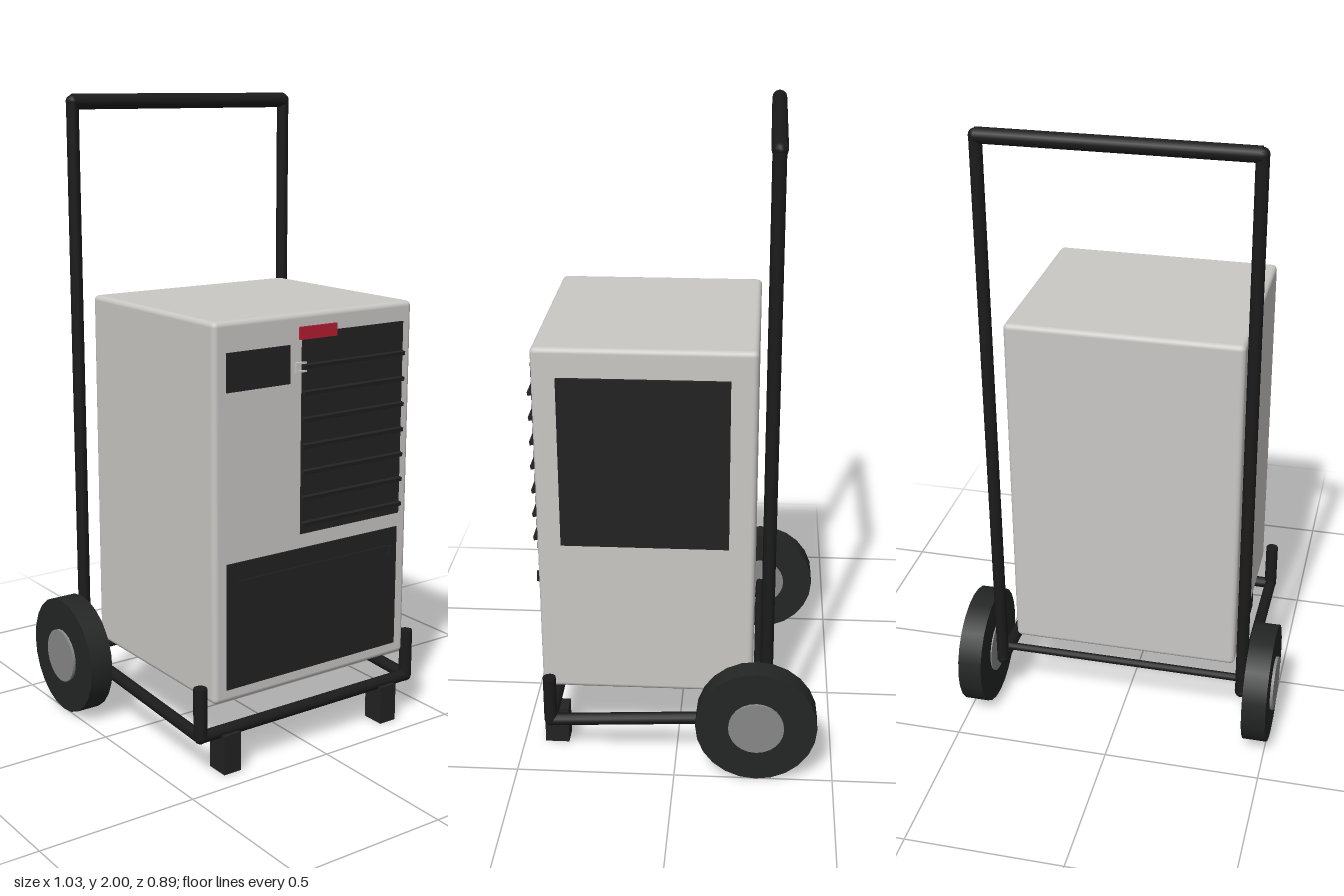
import * as THREE from 'three';
import { RoundedBoxGeometry } from 'three/addons/geometries/RoundedBoxGeometry.js';

const paint = (name, color) => Object.assign(new THREE.MeshStandardMaterial({ color }), { name });

export function createModel() {
  const model = new THREE.Group();
  model.name = 'portableDehumidifier';
  const shell = paint('shellGrey', 0xcac8c5);
  const frame = paint('frameBlack', 0x1b1b1c);
  const panel = paint('panelCharcoal', 0x222222);
  const tyre = paint('tyreRubber', 0x242525);
  const hub = paint('hubGrey', 0x888888);
  const red = paint('labelRed', 0xb51c30);

  const add = (name, geometry, material, x = 0, y = 0, z = 0) => {
    const mesh = new THREE.Mesh(geometry, material);
    mesh.name = name;
    mesh.position.set(x, y, z);
    model.add(mesh);
    return mesh;
  };
  // box from its minimum and maximum corners
  const box = (name, material, [x0, y0, z0], [x1, y1, z1]) =>
    add(name, new THREE.BoxGeometry(x1 - x0, y1 - y0, z1 - z0), material,
      (x0 + x1) / 2, (y0 + y1) / 2, (z0 + z1) / 2);
  // round tube between two points
  const bar = (name, a, b, r) => {
    const p = new THREE.Vector3(...a), q = new THREE.Vector3(...b);
    const d = q.clone().sub(p);
    const mesh = add(name, new THREE.CylinderGeometry(r, r, d.length(), 12), frame);
    mesh.position.copy(p).add(q).multiplyScalar(0.5);
    mesh.quaternion.setFromUnitVectors(new THREE.Vector3(0, 1, 0), d.normalize());
  };

  // cabinet
  add('cabinet', new RoundedBoxGeometry(0.742, 1.15, 0.671, 3, 0.016), shell, -0.002, 0.805, 0.0935);
  box('sideFilterPanel', panel, [0.36, 0.745, -0.162], [0.382, 1.29, 0.354]);

  // front panels
  const front = 0.425;
  box('controlPanel', panel, [-0.33, 1.175, front], [-0.105, 1.29, 0.434]);
  box('louvrePanel', panel, [-0.06, 0.708, front], [0.33, 1.32, 0.434]);
  box('tankPanel', panel, [-0.33, 0.272, front], [0.325, 0.663, 0.434]);
  box('tankRidge', panel, [-0.295, 0.6, front], [0.295, 0.608, 0.438]);
  box('tankLatch', panel, [0.288, 0.572, front], [0.298, 0.606, 0.446]);
  for (let i = 0; i < 7; i++) {
    const slat = add('louvreSlat', new THREE.BoxGeometry(0.39, 0.012, 0.018), panel,
      0.135, 1.223 - i * 0.0803, 0.437);
    slat.rotation.x = 0.2;
  }
  box('label', red, [-0.07, 1.302, front], [0.067, 1.34, 0.438]);

  // small open bracket beside the louvres
  box('bracketBack', shell, [-0.086, 1.205, front], [-0.079, 1.236, 0.438]);
  for (const y of [1.205, 1.23]) box('bracketArm', shell, [-0.086, y, front], [-0.047, y + 0.006, 0.438]);

  // trolley frame
  const X = 0.406, frontZ = 0.402, backZ = -0.286;
  bar('handleGrip', [-X, 1.976, backZ], [X, 1.976, backZ], 0.024);
  bar('frontRail', [-X, 0.13, frontZ], [X, 0.13, frontZ], 0.019);
  bar('axle', [-0.435, 0.195, -0.257], [0.435, 0.195, -0.257], 0.0125);
  for (const s of [-1, 1]) {
    bar('handleUpright', [s * X, 0.165, backZ], [s * X, 1.976, backZ], 0.0195);
    bar('sideRail', [s * X, 0.13, frontZ], [s * X, 0.166, backZ], 0.0195);
    bar('frontStop', [s * X, 0.13, frontZ], [s * X, 0.287, frontZ], 0.021);
    for (const [y, z] of [[0.13, frontZ], [0.166, backZ], [1.976, backZ]]) {
      add('frameCorner', new THREE.SphereGeometry(0.0205, 12, 8), frame, s * X, y, z);
    }
    box('foot', panel, [s * 0.309 - 0.031, 0, 0.355], [s * 0.309 + 0.031, 0.125, 0.432]);

    // wheels
    const wheel = add('wheel', new THREE.CylinderGeometry(0.19, 0.19, 0.077, 24), tyre, s * 0.4695, 0.195, -0.257);
    wheel.rotation.z = Math.PI / 2;
    wheel.position.y = 0.19 + 0.004;
    const cap = add('wheelHub', new THREE.CylinderGeometry(0.087, 0.087, 0.09, 24), hub, s * 0.472, 0.194, -0.257);
    cap.rotation.z = Math.PI / 2;
  }
  return model;
}
